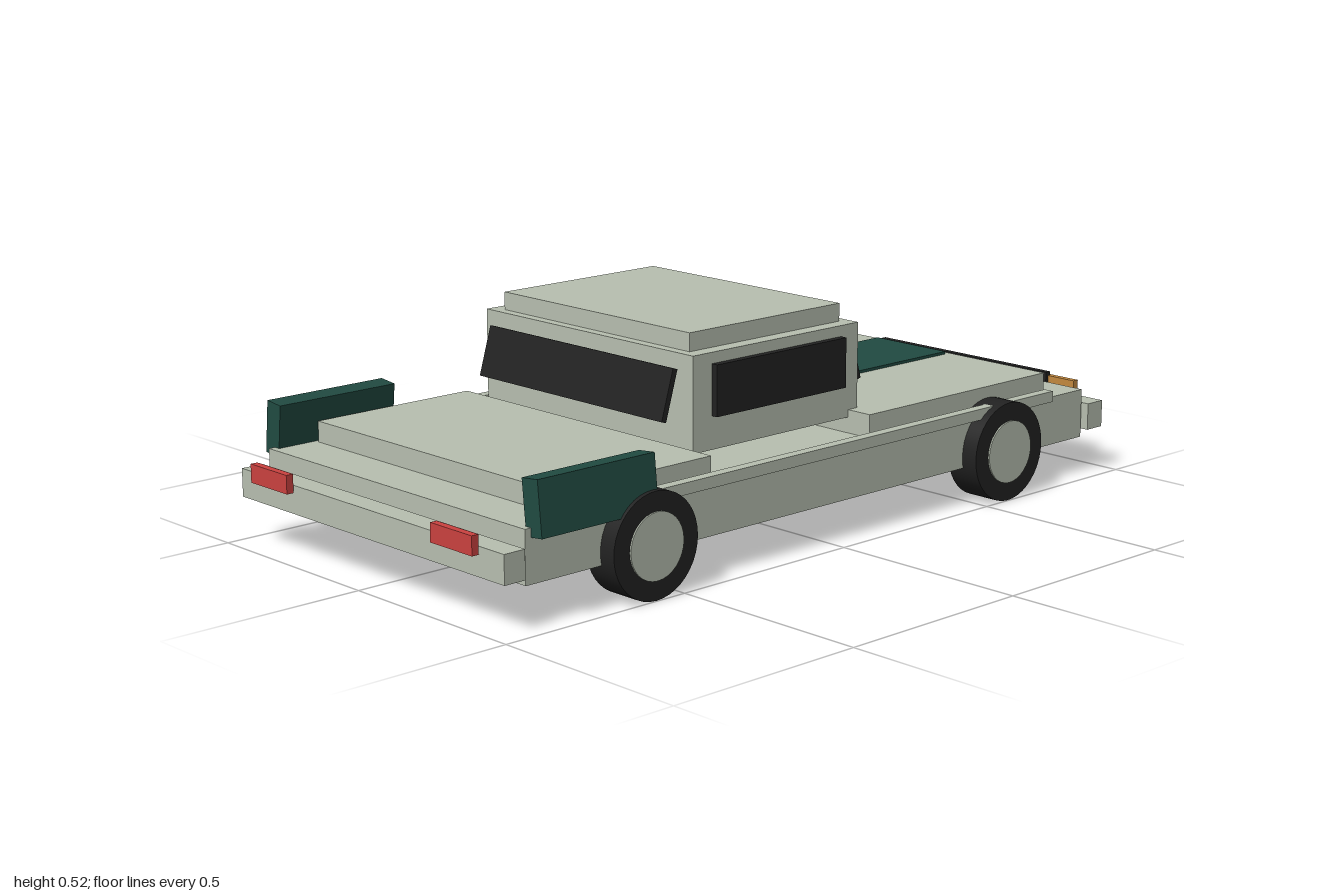
import * as THREE from 'three';

const mat = (name, color) => {
  const m = new THREE.MeshStandardMaterial({ color });
  m.name = name;
  return m;
};

export function createModel() {
  const car = new THREE.Group();
  car.name = 'car';

  const paint = mat('paleSagePaint', 0xb8c0b1);
  const black = mat('blackRubberAndGlass', 0x222222);
  const green = mat('darkGreen', 0x214b42);
  const red = mat('redLamp', 0xcc4240);
  const amber = mat('amberLamp', 0xc48a40);

  // Box given by its min and max on each axis
  const box = (name, material, [x0, x1], [y0, y1], [z0, z1]) => {
    const mesh = new THREE.Mesh(new THREE.BoxGeometry(x1 - x0, y1 - y0, z1 - z0), material);
    mesh.position.set((x0 + x1) / 2, (y0 + y1) / 2, (z0 + z1) / 2);
    mesh.name = name;
    car.add(mesh);
    return mesh;
  };
  const wide = (name, material, halfX, y, z) => box(name, material, [-halfX, halfX], y, z);

  // Body, deck panels and bumpers
  wide('body', paint, 0.455, [0.095, 0.217], [-0.908, 0.908]);
  wide('frontDeck', paint, 0.426, [0.212, 0.267], [0.35, 0.79]);
  wide('rearDeck', paint, 0.426, [0.212, 0.273], [-0.792, -0.16]);
  wide('frontBumper', paint, 0.468, [0.113, 0.18], [0.919, 0.975]);
  wide('rearBumper', paint, 0.468, [0.113, 0.18], [-0.975, -0.919]);

  // Cabin and roof
  wide('cabin', paint, 0.357, [0.255, 0.478], [-0.19, 0.34]);
  wide('roof', paint, 0.32, [0.478, 0.521], [-0.165, 0.315]);

  // Sloping windscreens
  for (const [name, z, tilt] of [['frontWindscreen', 0.373, -0.29], ['rearWindscreen', -0.22, 0.29]]) {
    const glass = wide(name, black, 0.317, [0.326, 0.448], [z - 0.007, z + 0.007]);
    glass.rotation.x = tilt;
  }

  // Deck stripe and grille
  wide('deckStripe', green, 0.117, [0.273, 0.28], [-0.775, -0.19]);
  wide('grille', black, 0.286, [0.14, 0.222], [-0.99, -0.974]);

  // Wheel parts share their geometry
  const tyreGeo = new THREE.CylinderGeometry(0.122, 0.122, 0.087, 40).rotateZ(Math.PI / 2);
  const hubGeo = new THREE.CylinderGeometry(0.077, 0.077, 0.095, 32).rotateZ(Math.PI / 2);

  for (const s of [1, -1]) {
    const side = s > 0 ? 'left' : 'right';
    const span = (a, b) => (s > 0 ? [a, b] : [-b, -a]);

    box(side + 'SideWindow', black, span(0.355, 0.374), [0.333, 0.452], [-0.133, 0.282]);
    box(side + 'SideTrim', paint, span(0.45, 0.477), [0.212, 0.239], [-0.767, 0.767]);
    box(side + 'RedLamp', red, span(0.257, 0.395), [0.165, 0.209], [0.982, 1]);
    box(side + 'AmberLamp', amber, span(0.257, 0.369), [0.163, 0.212], [-1, -0.983]);

    // Fin leaning inward at the top
    const fin = box(side + 'Fin', green, span(0.434, 0.484), [0.197, 0.322], [0.566, 0.892]);
    fin.rotation.z = s * 0.1;

    for (const [end, z] of [['Front', 0.58], ['Rear', -0.58]]) {
      const wheel = new THREE.Group();
      wheel.name = side + end + 'Wheel';
      wheel.position.set(s * 0.454, 0.123, z);
      const tyre = new THREE.Mesh(tyreGeo, black);
      tyre.name = 'tyre';
      const hub = new THREE.Mesh(hubGeo, paint);
      hub.name = 'hub';
      wheel.add(tyre, hub);
      car.add(wheel);
    }
  }
  return car;
}
